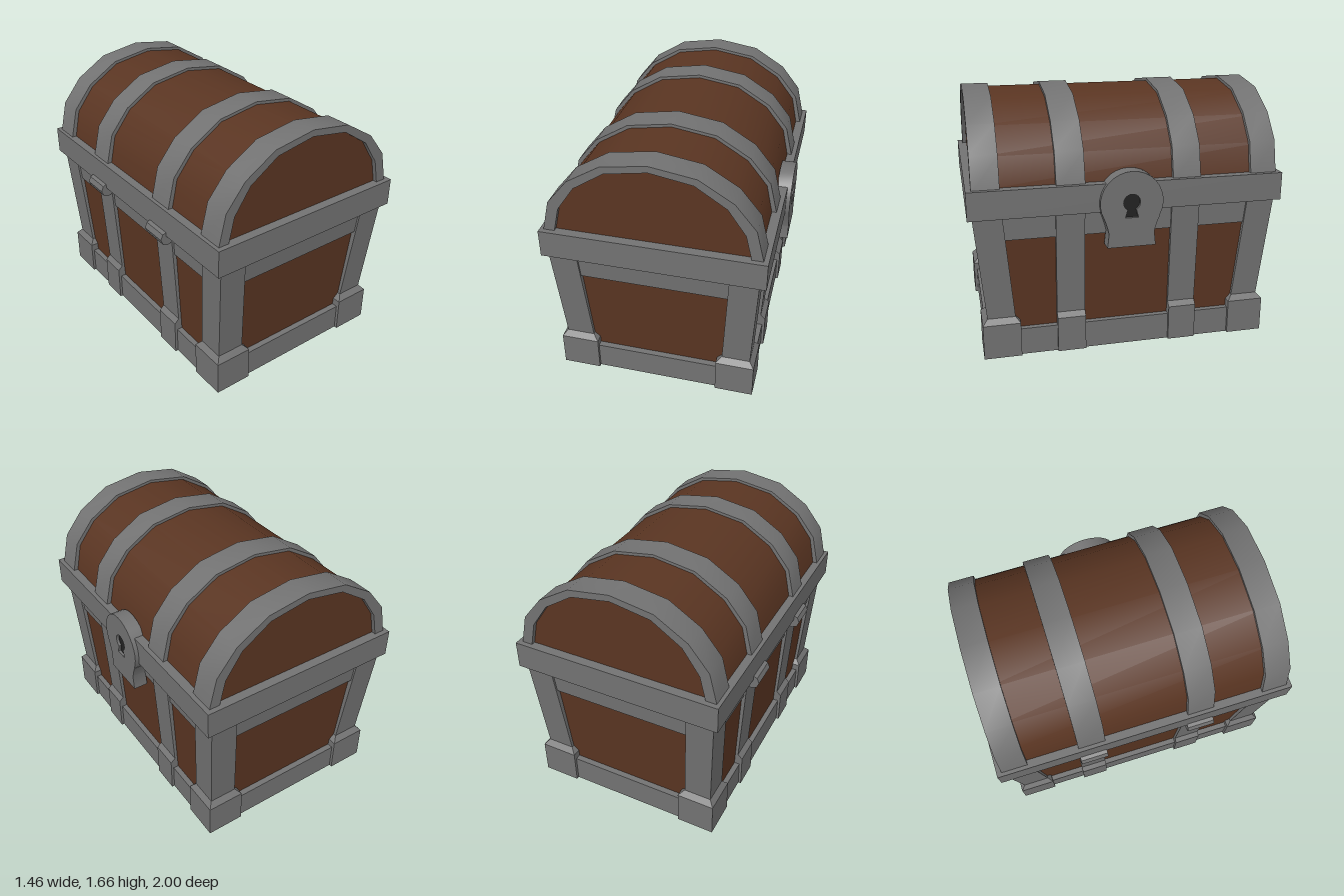
import * as THREE from 'three';
import { toCreasedNormals } from 'three/addons/utils/BufferGeometryUtils.js';

const iron = new THREE.MeshStandardMaterial({ color: 0x727272 });
iron.name = 'iron';
const wood = new THREE.MeshStandardMaterial({ color: 0x5a3522 });
wood.name = 'wood';
const dark = new THREE.MeshStandardMaterial({ color: 0x222222 });
dark.name = 'darkHole';

// Box whose bottom and top rectangles [x0, x1, z0, z1] differ
function taperedBox(y0, y1, bottom, top) {
  const geo = new THREE.BoxGeometry(1, 1, 1);
  const p = geo.attributes.position;
  for (let i = 0; i < p.count; i++) {
    const up = p.getY(i) > 0;
    const r = up ? top : bottom;
    p.setXYZ(i, p.getX(i) > 0 ? r[1] : r[0], up ? y1 : y0, p.getZ(i) > 0 ? r[3] : r[2]);
  }
  const flat = geo.toNonIndexed();
  flat.computeVertexNormals();
  return flat;
}

// Mirrors a rectangle into the quadrant given by the signs sx and sz
function mirrorRect([x0, x1, z0, z1], sx, sz) {
  return [...(sx > 0 ? [x0, x1] : [-x1, -x0]), ...(sz > 0 ? [z0, z1] : [-z1, -z0])];
}

// Right half of an arch profile, foot to crown, mirrored to a full arch
function arch(half) {
  const right = half.map(([x, y]) => new THREE.Vector2(x, y));
  const left = half.slice(0, -1).reverse().map(([x, y]) => new THREE.Vector2(-x, y));
  return [...right, ...left];
}

function extrude(shape, depth, crease = 0.6) {
  const geo = new THREE.ExtrudeGeometry(shape, { depth, bevelEnabled: false, curveSegments: 10 });
  return toCreasedNormals(geo, crease);
}

export function createModel() {
  const chest = new THREE.Group();
  chest.name = 'treasureChest';
  const add = (name, geo, mat, x = 0, y = 0, z = 0) => {
    const mesh = new THREE.Mesh(geo, mat);
    mesh.name = name;
    mesh.position.set(x, y, z);
    chest.add(mesh);
    return mesh;
  };
  const sym = (x, z) => [-x, x, -z, z];

  // Body: planks, bottom rail, upper rail and rim
  add('bodyPlanks', taperedBox(0.1, 1.0, sym(0.59, 0.875), sym(0.63, 0.94)), wood);
  add('baseRail', taperedBox(0, 0.18, sym(0.63, 0.92), sym(0.63, 0.92)), iron);
  add('upperRail', taperedBox(0.79, 0.96, sym(0.633, 0.945), sym(0.641, 0.958)), iron);
  add('rim', new THREE.BoxGeometry(1.39, 0.18, 2), iron, 0.003, 1.04, 0);

  // Corner posts with bevelled feet
  for (const sx of [-1, 1]) for (const sz of [-1, 1]) {
    const r = (rect) => mirrorRect(rect, sx, sz);
    const foot = r([0.4, 0.648, 0.7, 0.94]);
    const low = r([0.435, 0.617, 0.73, 0.908]);
    add('cornerFoot', taperedBox(0, 0.23, foot, foot), iron);
    add('cornerFootBevel', taperedBox(0.23, 0.265, foot, low), iron);
    add('cornerPost', taperedBox(0.265, 0.96, low, r([0.475, 0.655, 0.79, 0.972])), iron);

    // Straps on the long sides
    const strapFoot = r([0.5, 0.648, 0.28, 0.463]);
    const strapLow = r([0.5, 0.617, 0.28, 0.463]);
    add('strapFoot', taperedBox(0, 0.235, strapFoot, strapFoot), iron);
    add('strapFootBevel', taperedBox(0.235, 0.265, strapFoot, strapLow), iron);
    add('strap', taperedBox(0.265, 0.96, strapLow, r([0.5, 0.655, 0.28, 0.463])), iron);
  }

  // Lid: outer band profile, barrel profile, end opening profile
  const outer = [[0.67, 1.12], [0.62, 1.33], [0.49, 1.49], [0.28, 1.618], [0, 1.662]];
  const barrel = [[0.64, 1.12], [0.598, 1.315], [0.472, 1.475], [0.268, 1.6], [0, 1.643]];
  const inner = [[0.6, 1.12], [0.56, 1.29], [0.45, 1.45], [0.26, 1.575], [0, 1.62]];
  add('lidBarrel', extrude(new THREE.Shape(arch(barrel)), 1.88), wood, 0, 0, -0.94);

  const hoop = new THREE.Shape([...arch(outer), ...arch(inner).reverse()]);
  for (const s of [-1, 1]) {
    add('endBand', extrude(hoop, 0.17), iron, 0, 0, s * 0.8825 - 0.085);
    add('middleBand', extrude(hoop, 0.18), iron, 0, 0, s * 0.37 - 0.09);
  }

  // Lock plate with a keyhole cut through
  const plate = new THREE.Shape();
  plate.moveTo(-0.155, 0.72);
  plate.lineTo(0.155, 0.72);
  plate.lineTo(0.145, 0.81);
  plate.quadraticCurveTo(0.155, 0.86, 0.178, 0.91);
  plate.absarc(0, 1.007, 0.2, -0.5, Math.PI + 0.5, false);
  plate.quadraticCurveTo(-0.155, 0.86, -0.145, 0.81);
  plate.closePath();
  const key = new THREE.Path();
  key.moveTo(-0.042, 0.91);
  key.lineTo(-0.028, 0.962);
  key.absarc(0, 1.008, 0.054, Math.PI + 1.03, -1.03, true);
  key.lineTo(0.042, 0.91);
  key.closePath();
  plate.holes.push(key);
  add('lockPlate', extrude(plate, 0.095), iron, 0.63).rotation.y = Math.PI / 2;
  add('keyhole', new THREE.BoxGeometry(0.008, 0.18, 0.13), dark, 0.704, 0.985, 0);

  // Hinge barrels at the back
  for (const s of [-1, 1]) {
    const pin = toCreasedNormals(new THREE.CylinderGeometry(0.05, 0.05, 0.183, 8), 0.5);
    add('hinge', pin, iron, -0.68, 0.932, s * 0.372).rotation.x = Math.PI / 2;
  }
  return chest;
}
